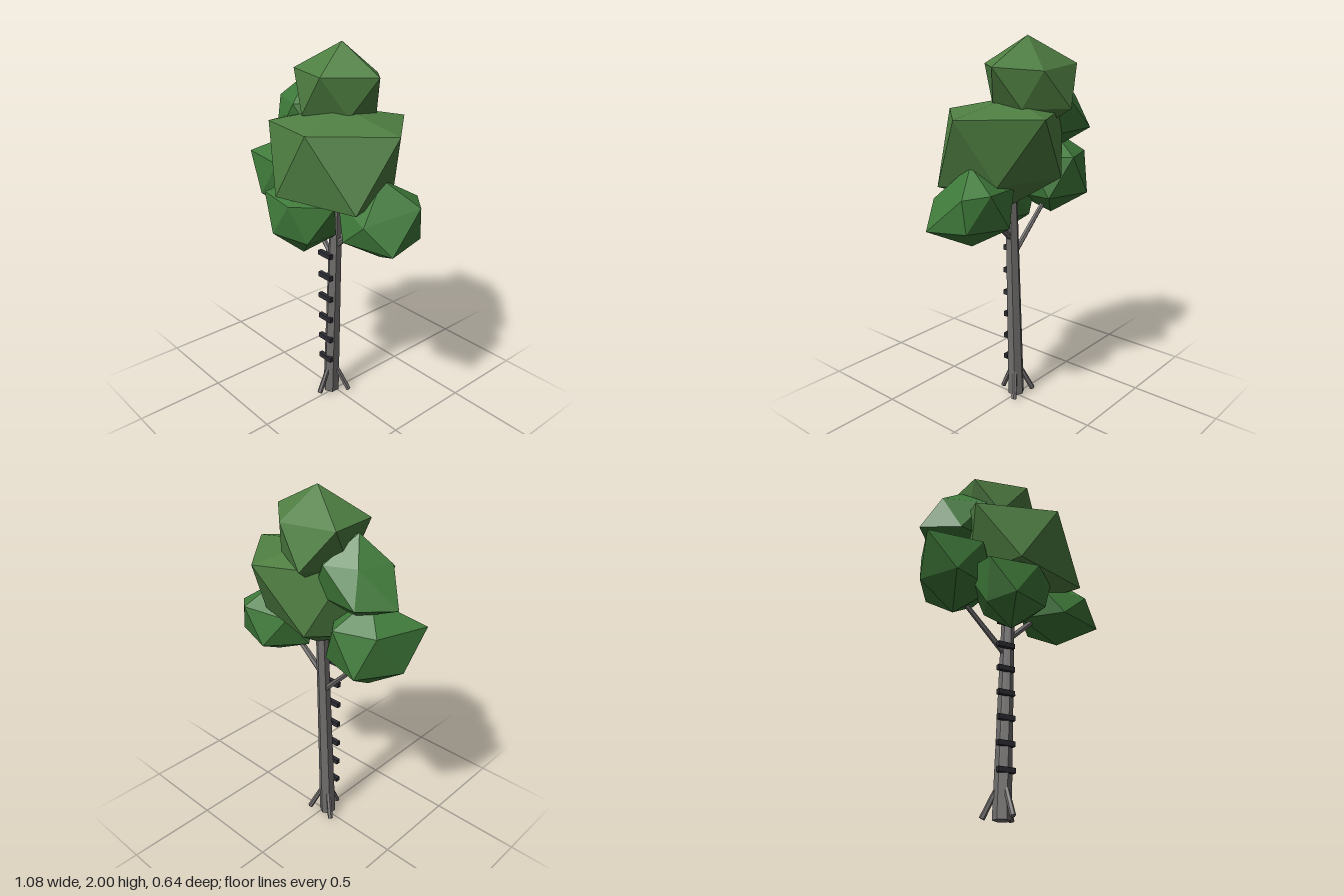
import * as THREE from 'three';
import { ConvexGeometry } from 'three/addons/geometries/ConvexGeometry.js';

const mat = (color) => new THREE.MeshStandardMaterial({ color, flatShading: true, roughness: 0.9 });

// Twenty-sided leaf clump: two staggered rings of five corners and two tips.
// levels = heights of bottom tip, lower ring, upper ring, top tip.
// nudges shift single ring corners (even = upper ring, odd = lower ring).
function leafClump(name, [cx, cz], [rx, rz], [bottom, low, high, top], material, nudges) {
  const pts = [new THREE.Vector3(cx, bottom, cz), new THREE.Vector3(cx, top, cz)];
  for (let i = 0; i < 10; i++) {
    const a = (i * Math.PI) / 5;
    const p = new THREE.Vector3(cx + 0.894 * rx * Math.cos(a), i % 2 ? low : high, cz + 0.894 * rz * Math.sin(a));
    if (nudges[i]) p.add(new THREE.Vector3(...nudges[i]));
    pts.push(p);
  }
  const mesh = new THREE.Mesh(new ConvexGeometry(pts), material);
  mesh.name = name;
  return mesh;
}

// Tapered limb between two points
function limb(name, from, to, r0, r1, material) {
  const a = new THREE.Vector3(...from), b = new THREE.Vector3(...to);
  const dir = b.clone().sub(a);
  const mesh = new THREE.Mesh(new THREE.CylinderGeometry(r1, r0, dir.length(), 6), material);
  mesh.position.copy(a).add(b).multiplyScalar(0.5);
  mesh.quaternion.setFromUnitVectors(new THREE.Vector3(0, 1, 0), dir.normalize());
  mesh.name = name;
  return mesh;
}

export function createModel() {
  const tree = new THREE.Group();
  tree.name = 'tree';
  const bark = mat(0x716d6d), dark = mat(0x2c2c34);
  const leaf = mat(0x3f7a3a), leafLight = mat(0x4f7f42);

  // Leaning trunk, limbs and three roots
  tree.add(limb('trunk', [-0.022, 0.002, 0.014], [0.025, 1.3, 0.012], 0.047, 0.032, bark));
  tree.add(limb('rightBranch', [-0.005, 0.86, 0.012], [-0.24, 1.1, 0], 0.016, 0.013, bark));
  tree.add(limb('leftBranch', [0.01, 0.94, 0.012], [0.27, 1.18, 0], 0.018, 0.014, bark));
  for (let i = 0; i < 3; i++) {
    const a = Math.PI / 2 + (i * Math.PI * 2) / 3;
    const c = Math.cos(a), s = Math.sin(a);
    tree.add(limb('root', [-0.016 + 0.095 * c, 0.012, 0.006 + 0.1 * s],
      [-0.015 + 0.026 * c, 0.16, 0.014 + 0.026 * s], 0.015, 0.014, bark));
  }

  // Ladder rungs up the front
  const rungGeo = new THREE.BoxGeometry(0.096, 0.027, 0.024);
  for (let i = 0; i < 7; i++) {
    const rung = new THREE.Mesh(rungGeo, dark);
    rung.name = 'rung';
    rung.position.set(-0.021, 0.235 + i * 0.131, 0.052);
    tree.add(rung);
  }

  // Crown
  tree.add(
    leafClump('topLeaves', [-0.02, -0.06], [0.3, 0.25], [1.5, 1.65, 1.86, 2.0], leafLight, {
      1: [-0.06, 0.01, -0.04], 3: [0, 0, -0.02], 5: [0.07, 0, 0], 6: [-0.02, 0, 0],
      8: [0, -0.02, 0.045], 9: [-0.06, 0.01, 0.04],
    }),
    leafClump('mainLeaves', [0.04, 0], [0.46, 0.377], [1.14, 1.27, 1.63, 1.7], leafLight, {
      2: [-0.015, 0, 0], 4: [0, -0.03, 0], 5: [0.15, 0, 0], 6: [0.05, 0, 0.08],
      7: [0, 0.03, 0.09], 9: [-0.08, 0.03, 0.07],
    }),
    leafClump('rightLeaves', [-0.31, 0], [0.25, 0.23], [1.03, 1.16, 1.375, 1.5], leaf, {
      3: [-0.01, 0.015, 0], 4: [-0.05, 0, 0.03], 5: [0.022, 0, 0.02], 6: [0.04, 0, 0],
    }),
    leafClump('upperRightLeaves', [-0.26, -0.04], [0.27, 0.19], [1.4, 1.5, 1.69, 1.82], leaf, {
      3: [0, -0.02, 0], 4: [0.045, 0, -0.03], 5: [-0.005, 0.01, 0], 6: [0.12, 0, 0.01], 7: [-0.045, 0.02, 0],
    }),
    leafClump('leftLeaves', [0.34, 0], [0.26, 0.22], [0.99, 1.1, 1.27, 1.4], leaf, {
      0: [-0.065, 0.005, -0.1], 1: [0.01, -0.01, 0], 2: [0, -0.05, 0], 8: [-0.01, 0.02, 0], 9: [-0.03, 0.01, 0],
    }),
    leafClump('frontLeaves', [-0.06, 0.17], [0.27, 0.18], [0.93, 1.05, 1.245, 1.3], leaf, {
      0: [0.01, 0.005, 0], 1: [-0.045, 0, 0], 3: [0.015, 0.01, 0], 4: [0.01, 0, 0.01],
      5: [0.085, -0.015, 0.02], 6: [-0.03, 0.005, 0], 9: [-0.045, 0, 0],
    }),
  );
  return tree;
}
